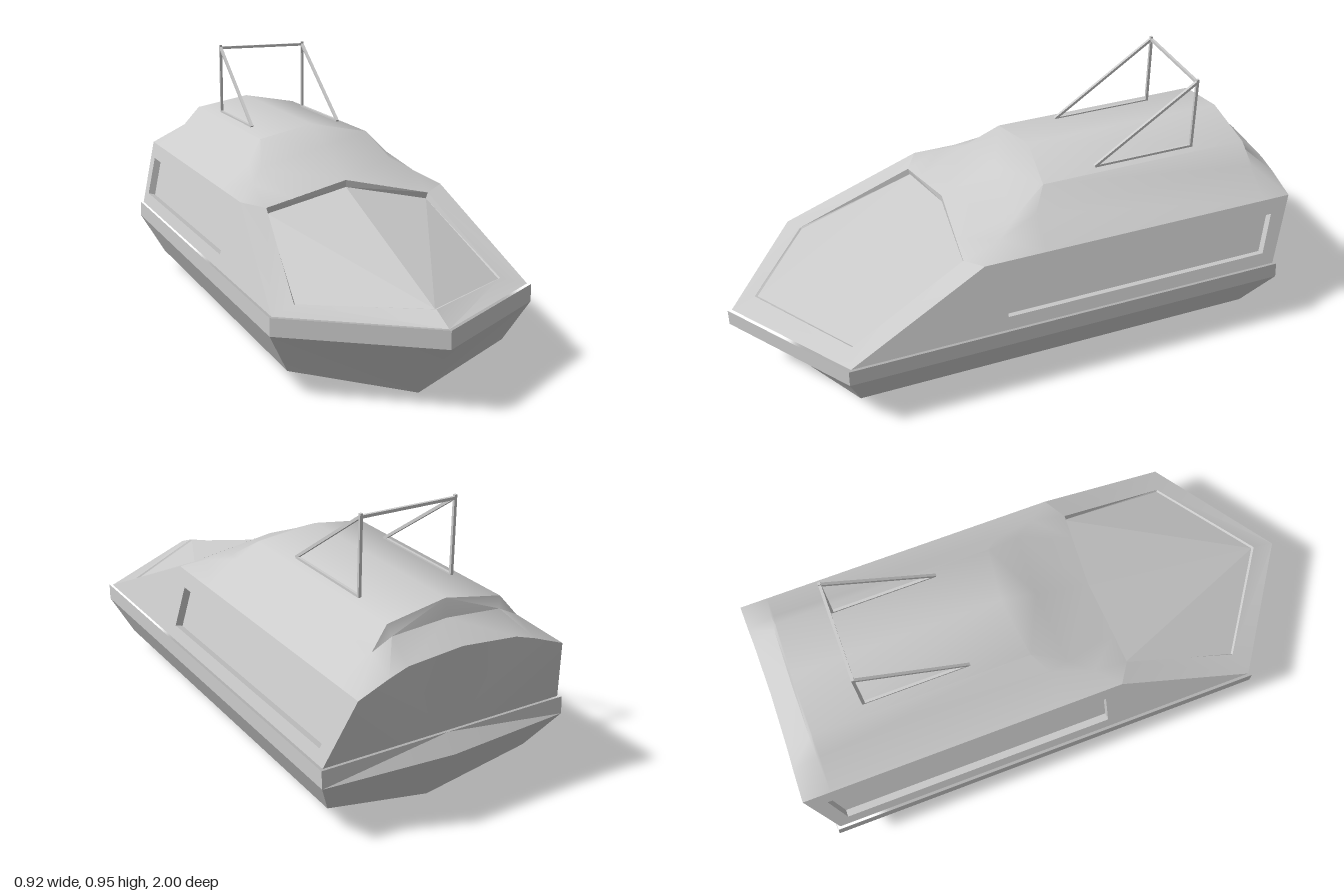
import * as THREE from 'three';
import { toCreasedNormals } from 'three/addons/utils/BufferGeometryUtils.js';

const grey = new THREE.MeshStandardMaterial({ color: 0xcccccc });
const greyBoth = new THREE.MeshStandardMaterial({ color: 0xcccccc, side: THREE.DoubleSide });
const core = new THREE.Vector3(0, 0.35, -0.1);

// Mesh from half-model polygons: fanned into triangles, turned outward, mirrored in x
function panels(name, polygons, { crease = 0.35, material = grey } = {}) {
  const out = [];
  const n = new THREE.Vector3(), mid = new THREE.Vector3(), e = new THREE.Vector3();
  for (const poly of polygons) {
    for (let i = 1; i < poly.length - 1; i++) {
      let [a, b, c] = [poly[0], poly[i], poly[i + 1]].map((p) => new THREE.Vector3(...p));
      n.subVectors(b, a).cross(e.subVectors(c, a));
      if (n.length() < 1e-7) continue;
      mid.copy(a).add(b).add(c).divideScalar(3).sub(core);
      if (n.dot(mid) < 0) [b, c] = [c, b];
      for (const p of [a, b, c]) out.push(p.x, p.y, p.z);
      for (const p of [a, c, b]) out.push(-p.x, p.y, p.z);
    }
  }
  const geometry = new THREE.BufferGeometry();
  geometry.setAttribute('position', new THREE.Float32BufferAttribute(out, 3));
  const mesh = new THREE.Mesh(toCreasedNormals(geometry, crease), material);
  mesh.name = name;
  return mesh;
}

// Quads between consecutive rows of points
function loft(rows, closed = false) {
  const quads = [];
  for (let r = 0; r < rows.length - 1; r++) {
    const a = rows[r], b = rows[r + 1];
    const count = closed ? a.length : a.length - 1;
    for (let i = 0; i < count; i++) {
      const j = (i + 1) % a.length;
      quads.push([a[i], a[j], b[j], b[i]]);
    }
  }
  return quads;
}

// Square bar between two points
function bar(name, from, to, size = 0.01) {
  const a = new THREE.Vector3(...from), b = new THREE.Vector3(...to);
  const mesh = new THREE.Mesh(new THREE.BoxGeometry(size, size, a.distanceTo(b)), grey);
  mesh.position.copy(a).add(b).multiplyScalar(0.5);
  mesh.lookAt(b);
  mesh.name = name;
  return mesh;
}

export function createModel() {
  const model = new THREE.Group();
  model.name = 'boat';

  // Hull rings, each from bow centre round to stern centre
  const keel = [[0, 0, 0.79], [0.385, 0.075, 0.64], [0.385, 0.075, -0.85], [0, 0, -0.84]];
  const chine = [[0, 0.215, 1], [0.46, 0.215, 0.69], [0.46, 0.215, -0.94], [0, 0.215, -0.975]];
  const gunwale = [[0, 0.275, 1], [0.46, 0.275, 0.69], [0.46, 0.275, -0.935], [0, 0.275, -0.935]];
  const deck = [[0, 0.275, 0.985], [0.45, 0.275, 0.68], [0.45, 0.275, -0.925], [0, 0.275, -0.925]];
  model.add(panels('hull', [keel, ...loft([keel, chine])], { crease: 0.2 }));
  model.add(panels('gunwale', loft([chine, gunwale, deck]), { crease: 0.2 }));

  // Roof sections from side edge to centre line, stern to windscreen
  const roof = [
    [[0.38, 0.515, -1], [0.27, 0.555, -0.993], [0.2, 0.575, -0.988], [0, 0.59, -0.983]],
    [[0.38, 0.515, -0.9], [0.27, 0.6, -0.9], [0.2, 0.635, -0.9], [0, 0.65, -0.9]],
    [[0.38, 0.515, -0.89], [0.27, 0.6, -0.89], [0.21, 0.672, -0.887], [0, 0.71, -0.887]],
    [[0.38, 0.515, -0.05], [0.27, 0.6, -0.05], [0.21, 0.672, -0.1], [0, 0.71, -0.13]],
    [[0.38, 0.515, 0.18], [0.31, 0.555, 0.1], [0.25, 0.59, 0.02], [0, 0.65, 0]],
    [[0.38, 0.515, 0.18], [0.305, 0.5, 0.23], [0.2, 0.522, 0.22], [0, 0.565, 0.2]],
  ];
  model.add(panels('roof', loft(roof), { crease: 0.7 }));
  model.add(panels('transom', [[deck[3], deck[2], ...roof[0]]]));

  // Cabin sides with a recessed long window
  const edgeFront = roof[5][0], edgeBack = roof[0][0];
  const onSide = (y, z) => [0.45 - 0.07 * (y - 0.275) / 0.24, y, z];
  const sideOuter = [deck[1], edgeFront, edgeBack, deck[2]];
  const sideHole = [onSide(0.32, 0.115), onSide(0.46, 0.115), onSide(0.46, -0.925), onSide(0.32, -0.885)];
  const sidePane = sideHole.map(([x, y, z]) => [x - 0.027, y - 0.008, z]);
  model.add(panels('cabinSides', loft([sideOuter, sideHole], true)));
  model.add(panels('sideWindowReveals', loft([sideHole, sidePane], true), { crease: 0.1, material: greyBoth }));
  model.add(panels('sideWindows', [sidePane]));

  // Foredeck frame around the windscreen, pane sunk at its upper edge
  const frame = [[0, 0.31, 0.9], [0.365, 0.295, 0.65], roof[5][1], roof[5][3]];
  const pane = [[0, 0.308, 0.89], [0.36, 0.292, 0.645], [0.3, 0.478, 0.225], [0, 0.54, 0.2]];
  model.add(panels('foredeck', loft([[deck[0], deck[1], edgeFront], frame.slice(0, 3)])));
  model.add(panels('windscreenReveal', loft([frame, pane]), { crease: 0.1, material: greyBoth }));
  model.add(panels('windscreen', [pane], { crease: 0.05 }));

  // Roof rail: two triangular braces and a crossbar
  const rail = new THREE.Group();
  rail.name = 'roofRail';
  for (const x of [-0.17, 0.18]) {
    rail.add(bar('railPost', [x, 0.67, -0.69], [x, 0.95, -0.69]));
    rail.add(bar('railBrace', [x, 0.68, -0.31], [x, 0.94, -0.69]));
    rail.add(bar('railFoot', [x, 0.68, -0.31], [x, 0.68, -0.69]));
  }
  rail.add(bar('railCrossbar', [-0.17, 0.939, -0.69], [0.18, 0.939, -0.69]));
  model.add(rail);

  return model;
}
